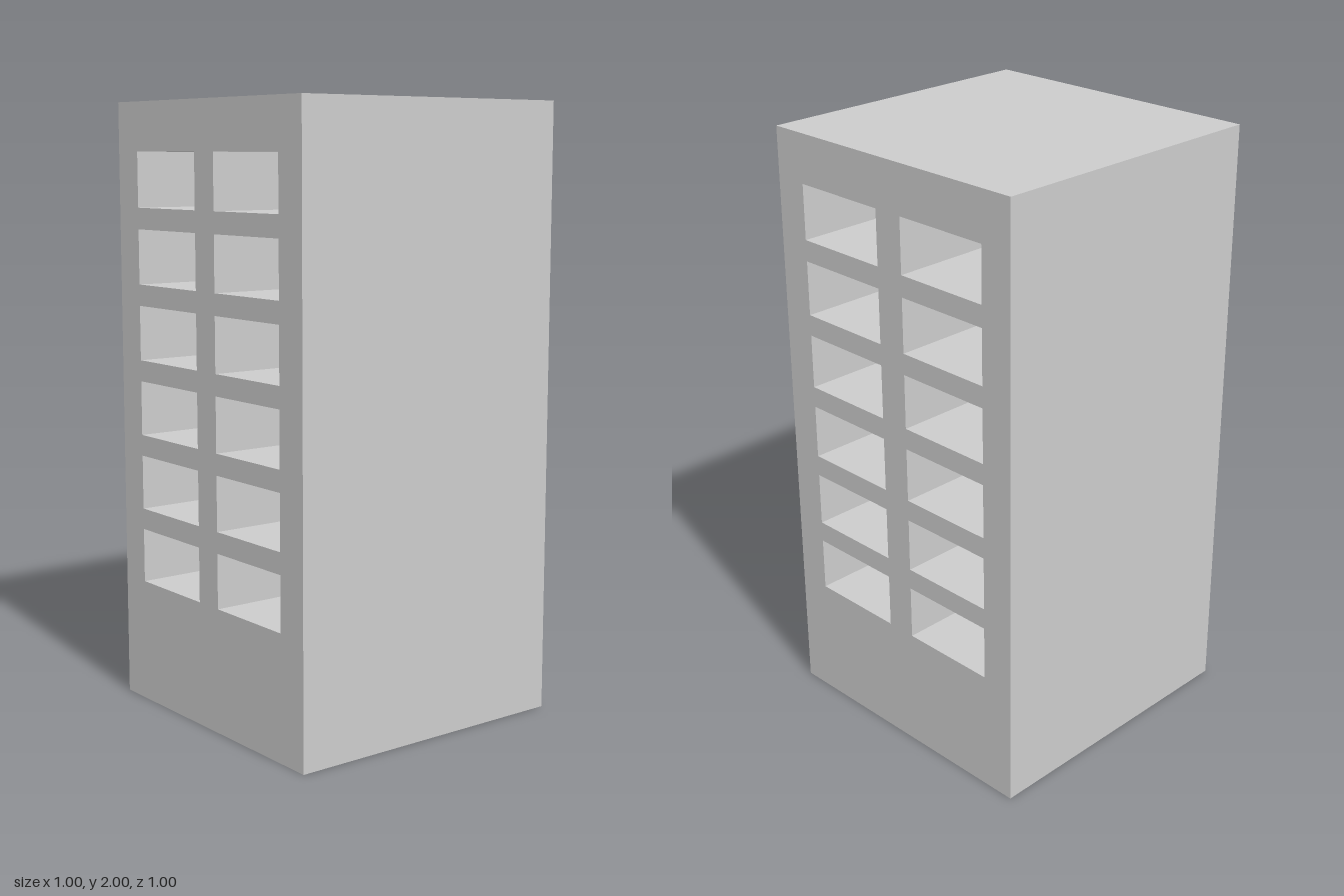
import * as THREE from 'three';

const WIDTH = 1, HEIGHT = 2, DEPTH = 1;
const FLOORS = 6, FIRST_FLOOR = 0.5, FLOOR_PITCH = 0.25;
const OPENING = { inner: 0.052, outer: 0.387, height: 0.18 };

// Adds a closed rectangle to a shape or hole path
function rectangle(path, x0, y0, x1, y1) {
  path.moveTo(x0, y0);
  path.lineTo(x1, y0);
  path.lineTo(x1, y1);
  path.lineTo(x0, y1);
  path.closePath();
  return path;
}

export function createModel() {
  const group = new THREE.Group();
  group.name = 'towerBlock';

  // Side profile of the block
  const profile = rectangle(new THREE.Shape(), -DEPTH / 2, 0, DEPTH / 2, HEIGHT);

  // Two columns of openings running right through the block
  for (let floor = 0; floor < FLOORS; floor++) {
    const y = FIRST_FLOOR + floor * FLOOR_PITCH;
    const bottom = y - OPENING.height / 2, top = y + OPENING.height / 2;
    profile.holes.push(
      rectangle(new THREE.Path(), OPENING.inner, bottom, OPENING.outer, top),
      rectangle(new THREE.Path(), -OPENING.outer, bottom, -OPENING.inner, top)
    );
  }

  // Extruded across the width, turned so the openings run along x
  const geometry = new THREE.ExtrudeGeometry(profile, { depth: WIDTH, bevelEnabled: false });
  geometry.translate(0, 0, -WIDTH / 2);
  geometry.rotateY(Math.PI / 2);

  const body = new THREE.Mesh(geometry, new THREE.MeshStandardMaterial({ color: 0xcccccc }));
  body.name = 'blockWithOpenings';
  group.add(body);
  return group;
}
